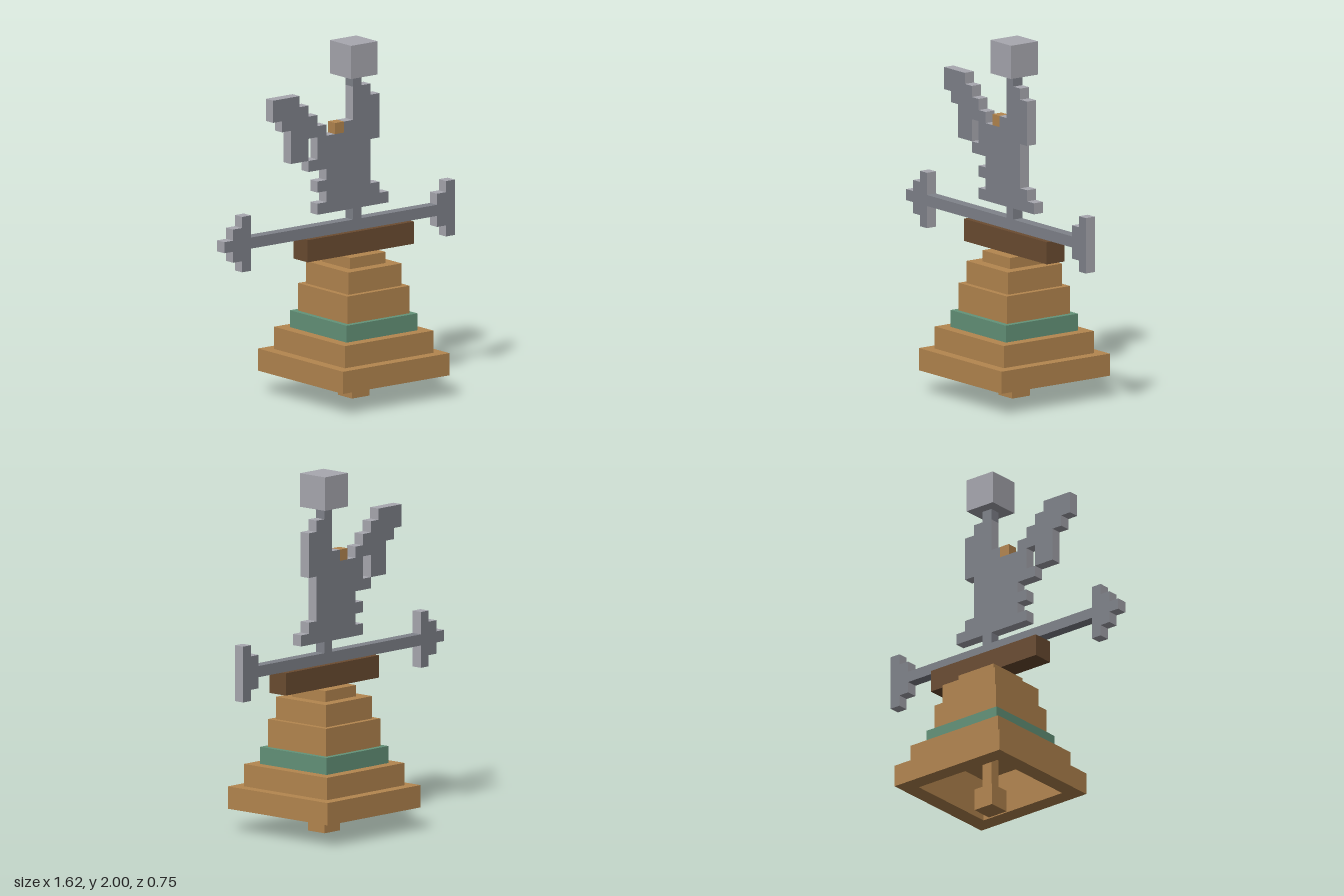
import * as THREE from 'three';

const U = 1 / 16; // one block
const mat = (name, color) => {
  const m = new THREE.MeshStandardMaterial({ color });
  m.name = name;
  return m;
};

export function createModel() {
  const gold = mat('gold', 0xb4864f);
  const green = mat('verdigris', 0x649379);
  const brown = mat('dark wood', 0x6b4c31);
  const light = mat('light grey', 0xa8a8b0);
  const dark = mat('dark grey', 0x80838b);
  const edged = [light, light, light, light, dark, dark]; // light rims, dark faces

  const model = new THREE.Group();
  model.name = 'bellWeathervane';
  const add = (name, geometry, material, parent = model) => {
    const mesh = new THREE.Mesh(geometry, material);
    mesh.name = name;
    parent.add(mesh);
    return mesh;
  };
  const group = (name) => {
    const g = new THREE.Group();
    g.name = name;
    model.add(g);
    return g;
  };
  // Box from x and y ranges, centred on z
  const block = (name, x0, x1, y0, y1, depth, material, parent) => {
    const mesh = add(name, new THREE.BoxGeometry(x1 - x0, y1 - y0, depth), material, parent);
    mesh.position.set((x0 + x1) / 2, (y0 + y1) / 2, 0);
    return mesh;
  };

  // Bell: two hollow lower rings, then solid tiers
  const cx = 0.125, inner = 0.28;
  const bell = group('bell');
  const square = (h, Type) => new Type([[-h, -h], [h, -h], [h, h], [-h, h]].map(p => new THREE.Vector2(...p)));
  [['bellLip', 0.375, 0.125], ['bellLowerTier', 0.3125, 0.25]].forEach(([name, half, y]) => {
    const ring = square(half, THREE.Shape);
    ring.holes.push(square(inner, THREE.Path));
    const geometry = new THREE.ExtrudeGeometry(ring, { depth: 0.125, bevelEnabled: false });
    geometry.rotateX(-Math.PI / 2);
    add(name, geometry, gold, bell).position.set(cx, y, 0);
  });
  block('bellCeiling', cx - inner, cx + inner, 0.367, 0.375, inner * 2, gold, bell);
  [
    ['bellBand', 0.25, 0.375, 0.47, green],
    ['bellMiddleTier', 0.2188, 0.47, 0.625, gold],
    ['bellUpperTier', 0.1875, 0.625, 0.75, gold],
    ['bellCrown', 0.125, 0.75, 0.8125, gold],
  ].forEach(([name, h, y0, y1, m]) => block(name, cx - h, cx + h, y0, y1, h * 2, m, bell));

  // Clapper
  const clapper = group('clapper');
  block('clapperBall', cx - U, cx + U, 0, 2 * U, 2 * U, gold, clapper);
  block('clapperRod', cx - U / 2, cx + U / 2, 2 * U, 0.367, U, gold, clapper);

  // Wooden beam
  block('beam', -0.25, 0.5, 0.8125, 0.9375, 2 * U, brown);

  // Arrow: rod, stepped tip at one end, stepped fletching at the other
  const arrow = group('arrow');
  block('arrowRod', -10 * U, 11 * U, 15 * U, 16 * U, U, dark, arrow);
  [
    ['arrowTip', -13, 15, 16], ['arrowTip', -12, 14, 17], ['arrowTip', -11, 13, 18],
    ['arrowFletching', 11, 14, 17], ['arrowFletching', 12, 13, 18],
  ].forEach(([name, k, y0, y1]) => block(name, k * U, (k + 1) * U, y0 * U, y1 * U, U, edged, arrow));

  // Rooster, in blocks, shifted half a block to +x
  const rooster = group('rooster');
  rooster.position.x = U / 2;
  const cutout = (name, points) => {
    const shape = new THREE.Shape(points.map(([x, y]) => new THREE.Vector2(x * U, y * U)));
    const geometry = new THREE.ExtrudeGeometry(shape, { depth: U, bevelEnabled: false });
    geometry.translate(0, 0, -U / 2);
    add(name, geometry, [dark, light], rooster);
  };
  cutout('roosterBody', [
    [-3, 17], [5, 17], [5, 18], [4, 18], [4, 19], [3, 19], [3, 23], [4, 23], [4, 27], [3, 27],
    [3, 28], [1, 28], [1, 25], [0, 25], [0, 24], [-2, 24], [-2, 25], [-3, 25], [-3, 22], [-4, 22],
    [-4, 21], [-2, 21], [-2, 20], [-3, 20], [-3, 19], [-2, 19], [-2, 18], [-3, 18],
  ]);
  cutout('roosterTail', [
    [-3, 24], [-3, 26], [-4, 26], [-4, 27], [-5, 27], [-5, 28], [-8, 28],
    [-8, 26], [-7, 26], [-7, 25], [-6, 25], [-6, 22], [-4, 22], [-4, 24],
  ]);
  block('roosterPost', U, 2 * U, 16 * U, 17 * U, U, dark, rooster);
  block('roosterNeckTop', U, 2 * U, 28 * U, 29 * U, U, dark, rooster);
  block('goldStud', -U, 0, 24 * U, 25 * U, U, gold, rooster);

  // Cube on top
  block('topCube', 0.03125, 0.21875, 1.8125, 2, 3 * U, light);

  return model;
}
